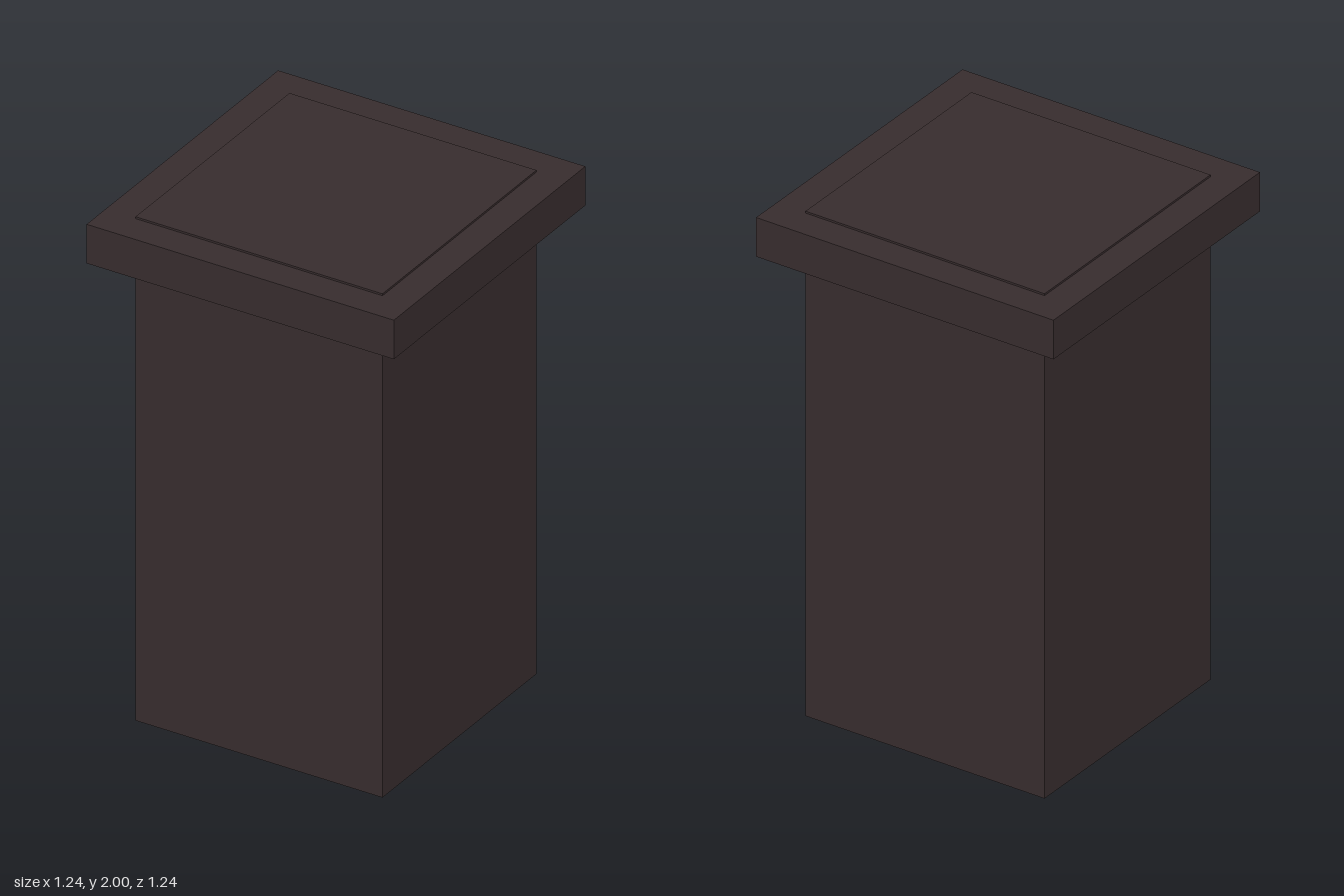
import * as THREE from 'three';

export function createModel() {
  const model = new THREE.Group();
  model.name = 'cappedPillar';

  const darkWood = new THREE.MeshStandardMaterial({ color: 0x382d2e });
  darkWood.name = 'darkWood';

  const addBox = (name, [w, h, d], [x, y, z]) => {
    const mesh = new THREE.Mesh(new THREE.BoxGeometry(w, h, d), darkWood);
    mesh.name = name;
    mesh.position.set(x, y, z);
    model.add(mesh);
  };

  const half = 0.5;        // half width of the column
  const trim = 0.122;      // thickness of the trim boards
  const trimHeight = 0.155;
  const trimY = 1.915;
  const offset = half + trim / 2;

  // Square column, rising just above the trim
  addBox('column', [2 * half, 2, 2 * half], [0, 1, 0]);

  // Trim boards around the top: front and back overlap the ends of the sides
  for (const s of [1, -1]) {
    addBox(s > 0 ? 'frontTrim' : 'backTrim',
      [2 * (half + trim), trimHeight, trim], [0, trimY, s * offset]);
    addBox(s > 0 ? 'leftTrim' : 'rightTrim',
      [trim, trimHeight, 2 * half], [s * offset, trimY, 0]);
  }

  return model;
}
